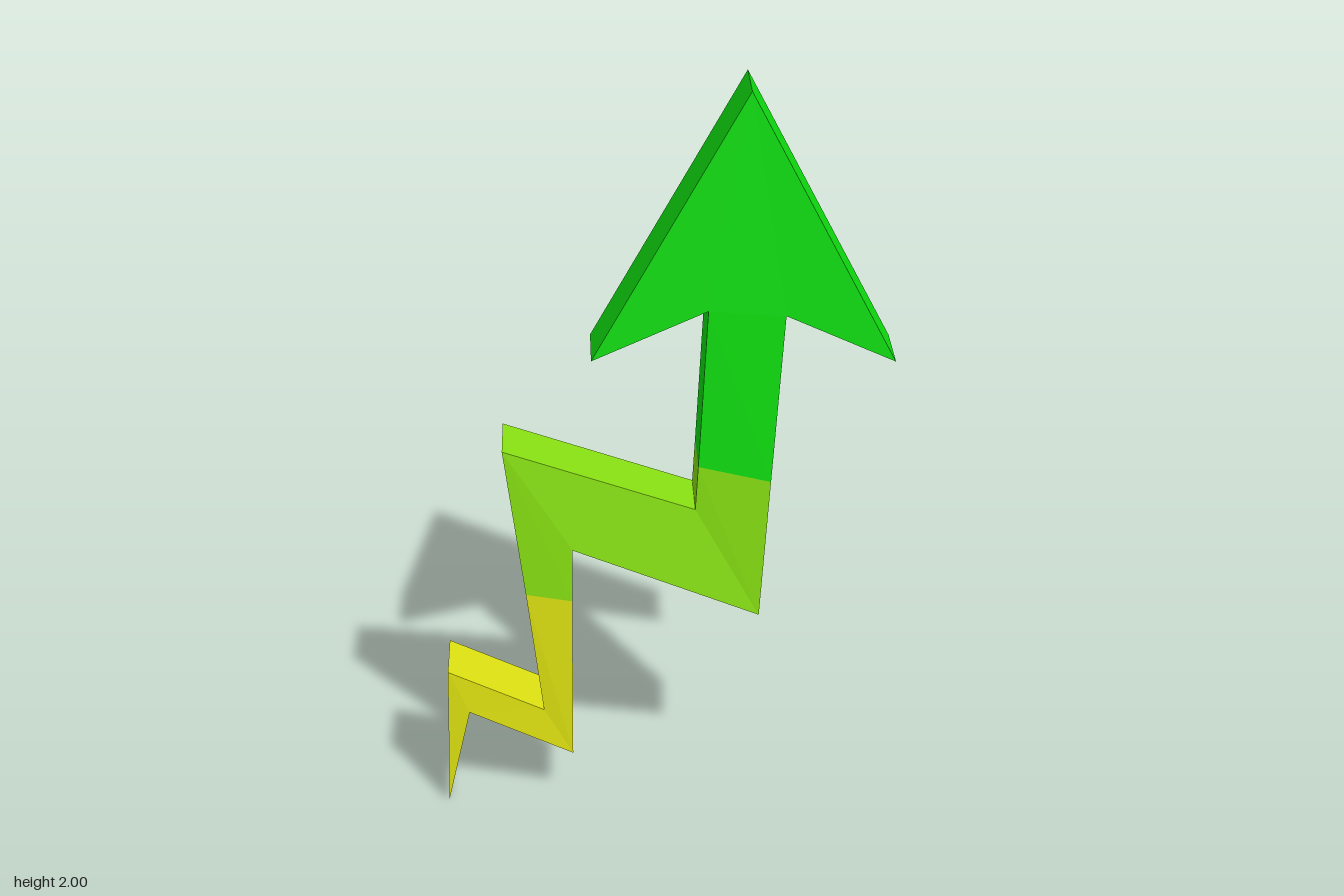
import * as THREE from 'three';

// Front-face corners of the zigzag arrow
const P = {
  tail: [-0.56, 0.01, 0.235], tailTop: [-0.555, 0.403, 0.22],
  lowNotch: [-0.305, 0.28, 0.17], lowNotchUnder: [-0.5, 0.28, 0.215],
  lowCorner: [-0.228, 0.147, 0.165],
  lowCutL: [-0.348, 0.63, 0.167], lowCutR: [-0.227, 0.61, 0.147],
  midTop: [-0.403, 1.048, 0.165], midUnder: [-0.225, 0.76, 0.141],
  midNotch: [0.085, 0.855, 0.04], midCorner: [0.255, 0.54, 0.02],
  highCutL: [0.092, 0.98, 0.038], highCutR: [0.28, 0.935, 0.006],
  neckL: [0.115, 1.422, 0.03], neckR: [0.31, 1.405, -0.01],
  barbL: [-0.18, 1.287, 0.087], barbR: [0.59, 1.277, -0.055],
  tip: [0.213, 2, -0.02],
};

// Offset from the front face to the back face
const DEPTH = [-0.035, -0.007, -0.178];

// Slab from a counter-clockwise outline; edges listed in "open" join another piece
function slab(names, open) {
  const front = names.map((n) => P[n]);
  const back = front.map((p) => p.map((v, i) => v + DEPTH[i]));
  const out = [];
  const tri = (a, b, c) => out.push(...a, ...b, ...c);
  const outline = front.map((p) => new THREE.Vector2(p[0], p[1]));
  for (const [a, b, c] of THREE.ShapeUtils.triangulateShape(outline, [])) {
    tri(front[a], front[b], front[c]);
    tri(back[c], back[b], back[a]);
  }
  for (let i = 0; i < names.length; i++) {
    if (open.includes(i)) continue;
    const j = (i + 1) % names.length;
    tri(front[i], back[i], back[j]);
    tri(front[i], back[j], front[j]);
  }
  const geo = new THREE.BufferGeometry();
  geo.setAttribute('position', new THREE.Float32BufferAttribute(out, 3));
  geo.computeVertexNormals();
  return geo;
}

export function createModel() {
  const group = new THREE.Group();
  group.name = 'zigzagArrow';
  const add = (name, colorName, color, names, open) => {
    const material = new THREE.MeshStandardMaterial({ color });
    material.name = colorName;
    const mesh = new THREE.Mesh(slab(names, open), material);
    mesh.name = name;
    group.add(mesh);
  };

  // Pointed tail and lower riser
  add('tail', 'yellow', 0xdde010,
    ['tail', 'lowNotchUnder', 'lowCorner', 'lowCutR', 'lowCutL', 'lowNotch', 'tailTop'], [3]);
  // Middle zigzag
  add('middle', 'lime', 0x87e012,
    ['lowCutR', 'midUnder', 'midCorner', 'highCutR', 'highCutL', 'midNotch', 'midTop', 'lowCutL'], [3, 7]);
  // Upper riser and arrowhead
  add('head', 'green', 0x0fe010,
    ['highCutR', 'neckR', 'barbR', 'tip', 'barbL', 'neckL', 'highCutL'], [6]);

  return group;
}
